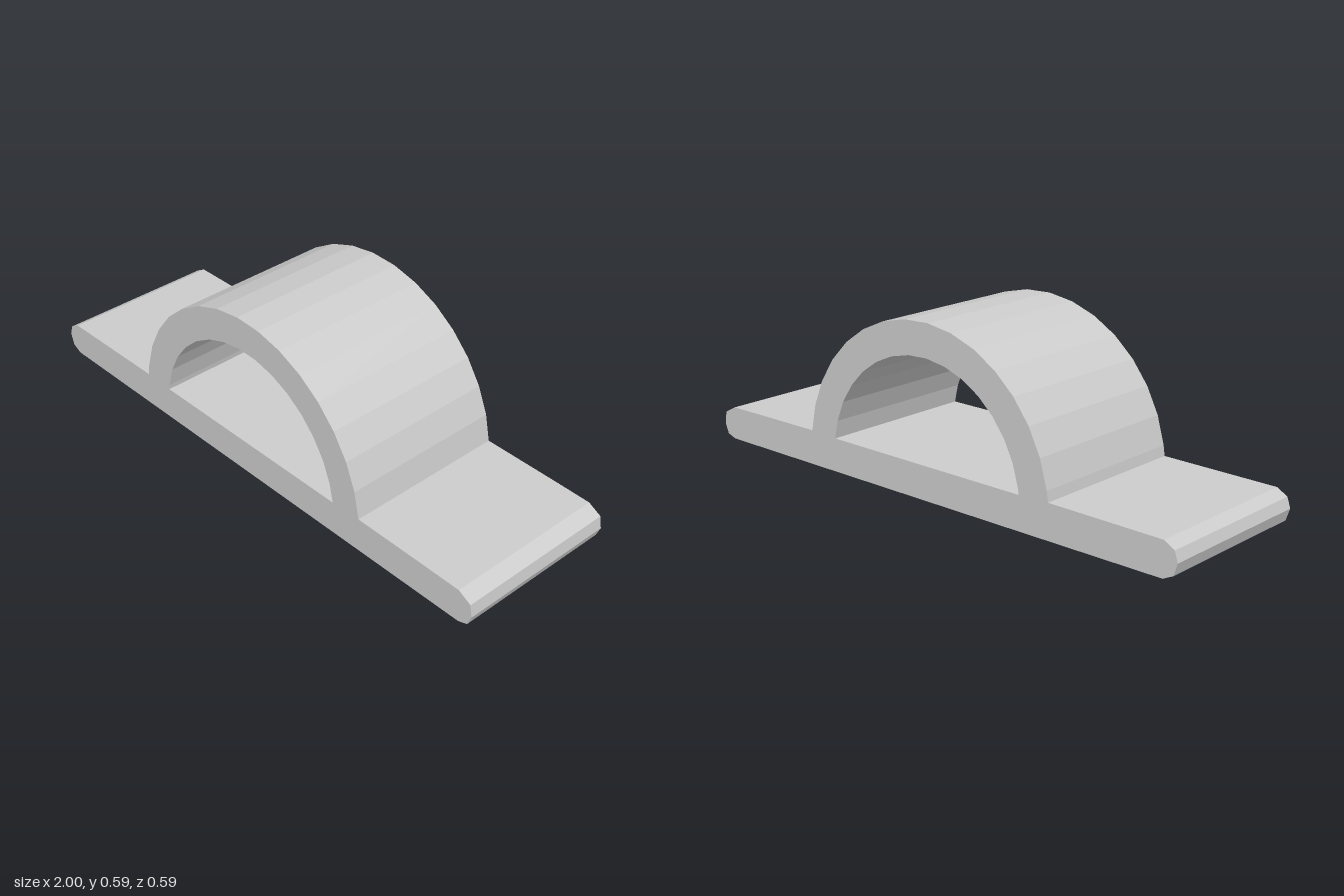
import * as THREE from 'three';

const DEPTH = 0.588;
const CENTRE_Y = 0.062; // centre of the arch circles
const STEP = 10.9; // degrees per facet of the arch

// Points along an arch circle, from the right foot over the top to the left foot
function archPoints(radius, footY) {
  const foot = Math.sqrt(radius ** 2 - (footY - CENTRE_Y) ** 2);
  const points = [new THREE.Vector2(foot, footY)];
  for (let i = 1; i < 16; i++) {
    const a = THREE.MathUtils.degToRad(6.1 + STEP * i);
    points.push(new THREE.Vector2(radius * Math.cos(a), CENTRE_Y + radius * Math.sin(a)));
  }
  points.push(new THREE.Vector2(-foot, footY));
  return points;
}

export function createModel() {
  const group = new THREE.Group();
  group.name = 'archClip';
  const material = new THREE.MeshStandardMaterial({ color: 0xcccccc });
  material.name = 'light grey';

  // Base strip with rounded ends, joined to the outside of the arch
  const rightEnd = [[-0.95, 0], [0.95, 0], [0.985, 0.012], [1, 0.048], [0.993, 0.092], [0.945, 0.118], [0.8, 0.12]];
  const leftEnd = [[-0.95, 0.118], [-0.988, 0.096], [-1, 0.06], [-0.986, 0.018]];
  const toVector = ([x, y]) => new THREE.Vector2(x, y);
  const profile = new THREE.Shape([
    ...rightEnd.map(toVector),
    ...archPoints(0.529, 0.122),
    ...leftEnd.map(toVector),
  ]);

  // Tunnel under the arch
  profile.holes.push(new THREE.Path(archPoints(0.414, 0.118)));

  const geometry = new THREE.ExtrudeGeometry(profile, { depth: DEPTH, bevelEnabled: false });
  geometry.translate(0, 0, -DEPTH / 2);
  const body = new THREE.Mesh(geometry, material);
  body.name = 'baseAndArch';
  group.add(body);
  return group;
}
